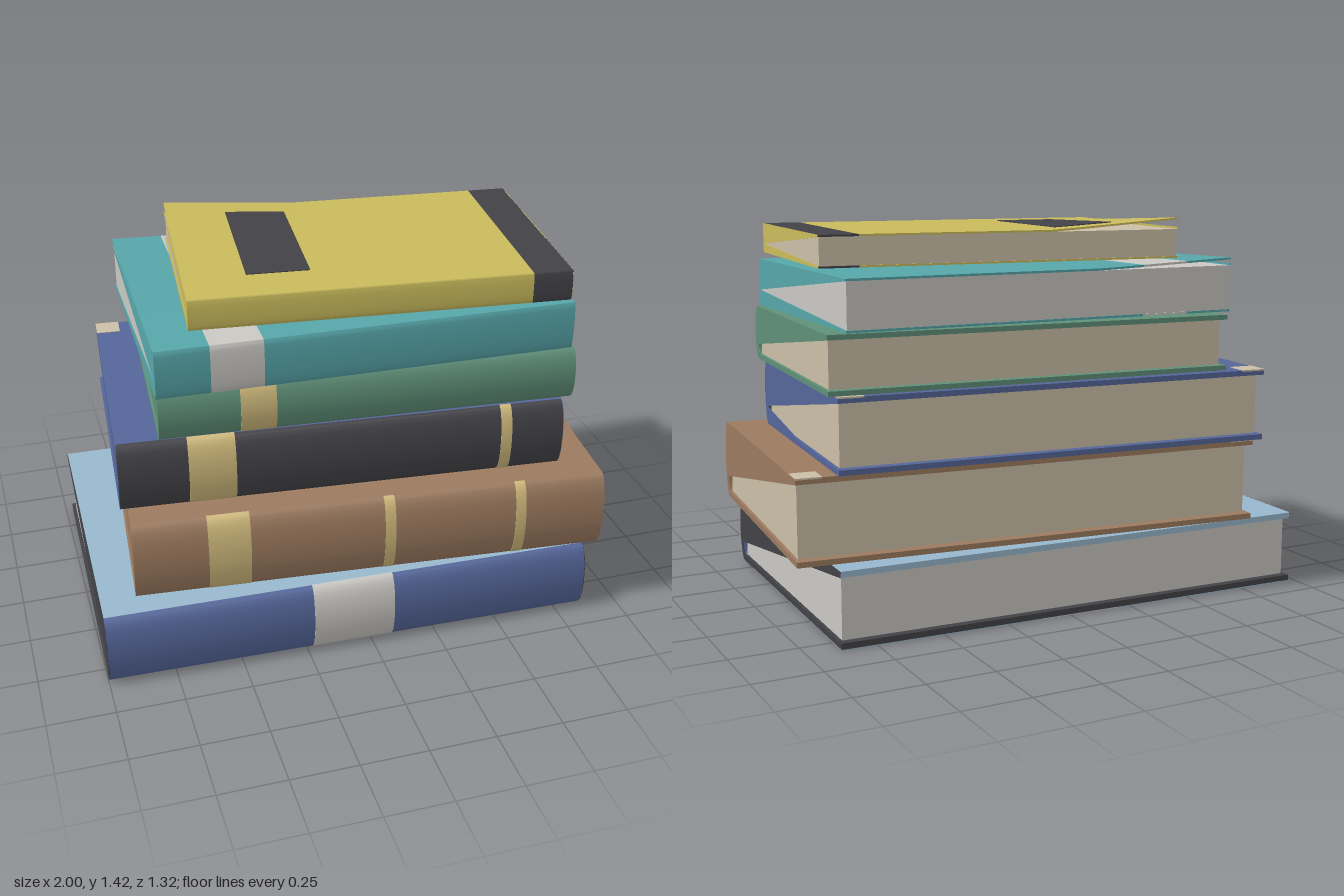
import * as THREE from 'three';
import { toCreasedNormals } from 'three/addons/utils/BufferGeometryUtils.js';

const paint = (name, color) => {
  const m = new THREE.MeshStandardMaterial({ color });
  m.name = name;
  return m;
};
const M = {
  blue: paint('blue', 0x55669a), sky: paint('light blue', 0x98b8ce), brown: paint('brown', 0x9c7a5f),
  charcoal: paint('charcoal', 0x434247), green: paint('green', 0x5f9078), teal: paint('teal', 0x57a6aa),
  yellow: paint('yellow', 0xcabb5c), cream: paint('cream', 0xcbbfa6), grey: paint('light grey', 0xcac8c3),
  gold: paint('gold', 0xd0ba7c),
};

// One entry per book, bottom to top. b: spine bulge, t: cover thickness, over: cover overhang,
// low: depth at which the end cap's lower edge meets the bottom cover, lift: curl of the back corner
const BOOKS = [
  { name: 'blueBook', at: [-0.06, 0.004, 0.01], turn: -0.023, L: 1.85, D: 1.245, h: 0.274, b: 0.05, t: 0.022,
    over: 0.03, apex: 0.27, low: 0.57, cover: 'sky', under: 'charcoal', spine: 'blue', end: 'charcoal', pages: 'grey',
    bands: [[-0.155, 0.155, 'grey']] },
  { name: 'brownBook', at: [0.065, 0.28, 0.006], turn: -0.083, L: 1.775, D: 1.155, h: 0.308, b: 0.05, t: 0.02,
    over: 0.04, apex: 0.26, low: 0.52, cover: 'brown', spine: 'brown', end: 'brown', pages: 'cream', corners: true,
    bands: [[-0.617, -0.462, 'gold'], [0.038, 0.078, 'gold'], [0.54, 0.58, 'gold']] },
  { name: 'darkBook', at: [-0.016, 0.59, -0.068], turn: -0.08, L: 1.66, D: 1.055, h: 0.268, b: 0.045, t: 0.02,
    over: 0.035, apex: 0.26, low: 0, cover: 'blue', spine: 'charcoal', end: 'blue', pages: 'cream', corners: true,
    bands: [[-0.577, -0.405, 'gold'], [0.588, 0.63, 'gold']] },
  { name: 'greenBook', at: [0.075, 0.86, -0.055], turn: -0.072, L: 1.54, D: 1.02, h: 0.208, b: 0.045, t: 0.018,
    over: 0.035, apex: 0.26, low: 0.44, cover: 'green', spine: 'green', end: 'green', pages: 'cream',
    bands: [[-0.478, -0.348, 'gold']] },
  { name: 'tealPaperback', at: [0.035, 1.07, -0.025], turn: -0.02, L: 1.535, D: 1.0, h: 0.182, b: 0.01, t: 0.008,
    over: 0.004, apex: 0.33, low: -0.48, lift: 0.022, cover: 'teal', spine: 'teal', end: 'teal', pages: 'grey',
    wraps: [[-0.575, -0.385, 'grey']] },
  { name: 'yellowPaperback', at: [0.122, 1.275, 0.013], turn: -0.097, L: 1.375, D: 0.86, h: 0.114, b: 0.006, t: 0.007,
    over: 0.004, apex: 0.3, low: -0.41, lift: 0.036, cover: 'yellow', spine: 'yellow', end: 'yellow', pages: 'cream',
    wraps: [[0.5425, 0.6875, 'charcoal']], label: [-0.345, -0.04, 0.23, 0.575] },
];

function add(group, name, geometry, mat) {
  const mesh = new THREE.Mesh(geometry, M[mat]);
  mesh.name = name;
  group.add(mesh);
}

// Box given by its limits
function block(x0, x1, y0, y1, z0, z1, sx = 1, sz = 1) {
  return new THREE.BoxGeometry(x1 - x0, y1 - y0, z1 - z0, sx, 1, sz)
    .translate((x0 + x1) / 2, (y0 + y1) / 2, (z0 + z1) / 2);
}

// Extrude a (z, y) outline along x from x0 to x1
function along(points, x0, x1) {
  const g = new THREE.ExtrudeGeometry(new THREE.Shape(points), { depth: x1 - x0, bevelEnabled: false });
  return toCreasedNormals(g.rotateY(-Math.PI / 2).translate(x1, 0, 0), 0.6);
}

// Half-oval spine curve, from top to bottom
function spineArc(k, grow) {
  const pts = [], n = 14;
  for (let i = 0; i <= n; i++) {
    const a = Math.PI * (0.5 - i / n);
    pts.push(new THREE.Vector2(k.D / 2 - k.b + (k.b + grow) * Math.cos(a), k.h / 2 + (k.h / 2 + grow) * Math.sin(a)));
  }
  return pts;
}
const spineShell = (k, x0, x1, outer, inner) =>
  along([...spineArc(k, outer), ...spineArc(k, inner).reverse()], x0, x1);

// Raise the back corner of a top cover
function curl(k, geometry) {
  if (!k.lift) return geometry;
  const p = geometry.attributes.position;
  for (let i = 0; i < p.count; i++) {
    const a = Math.max(0, 1 - (p.getX(i) + k.L / 2) / (0.36 * k.L));
    const b = Math.max(0, 1 - (p.getZ(i) + k.D / 2) / (0.8 * k.D));
    p.setY(i, p.getY(i) + k.lift * a * b);
  }
  geometry.computeVertexNormals();
  return geometry;
}

function makeBook(k) {
  const g = new THREE.Group();
  g.name = k.name;
  g.position.set(...k.at);
  g.rotation.y = k.turn;
  const X = k.L / 2, back = -k.D / 2, front = k.D / 2, joint = front - k.b;

  // Cover pieces, split where a coloured wrap goes all round
  const pieces = [];
  let x = -X;
  for (const [x0, x1, mat] of k.wraps || []) {
    pieces.push([x, x0, k.cover, k.spine], [x0, x1, mat, mat]);
    x = x1;
  }
  if (x < X) pieces.push([x, X, k.cover, k.spine]);
  for (const [x0, x1, cover, spine] of pieces) {
    const s = k.lift ? 12 : 1;
    add(g, 'topCover', curl(k, block(x0, x1, k.h - k.t, k.h, back, joint, s, s)), cover);
    add(g, 'bottomCover', block(x0, x1, 0, k.t, back, joint), k.under || cover);
    add(g, 'spine', spineShell(k, x0, x1, 0, -Math.min(k.t, k.b * 0.8)), spine);
  }

  // Page block
  const inset = k.over > 0.01 ? 0.012 : 0.004;
  add(g, 'pages', block(-X + inset, X - inset, k.t, k.h - k.t, back + k.over, joint), k.pages);

  // End caps, wedge-shaped from the spine to the top back edge
  const v = (z, y) => new THREE.Vector2(z, y);
  const cap = [...spineArc(k, 0), v(back, 0), v(back, k.t), v(k.low, k.t + 0.002),
    v(front - k.b * 0.5, k.h * k.apex), v(back, k.h - k.t), v(back, k.h)];
  for (const x0 of [-X - 0.001, X - 0.002]) add(g, 'endCap', along(cap, x0, x0 + 0.003), k.end);

  // Spine bands
  for (const [x0, x1, mat] of k.bands || []) add(g, 'spineBand', spineShell(k, x0, x1, 0.002, -0.003), mat);

  // Protective corners on the back of the top cover
  if (k.corners) {
    for (const s of [-1, 1]) {
      const a = s * (X + 0.001), b = s * (X - 0.092);
      add(g, 'cornerPatch', block(Math.min(a, b), Math.max(a, b), k.h - 0.004, k.h + 0.002, back - 0.001, back + 0.09), 'cream');
    }
  }

  // Front label
  if (k.label) {
    const [cx, cz, w, d] = k.label;
    add(g, 'coverLabel', curl(k, block(cx - w / 2, cx + w / 2, k.h - 0.002, k.h + 0.003, cz - d / 2, cz + d / 2, 10, 14)), 'charcoal');
  }
  return g;
}

export function createModel() {
  const model = new THREE.Group();
  model.name = 'bookStack';
  BOOKS.forEach((k) => model.add(makeBook(k)));

  // Underside of the lowest book: cloth panel, spine strip and band
  const k = BOOKS[0], base = model.children[0], X = k.L / 2, z0 = -k.D / 2, zs = k.D / 2 - 0.18, z1 = k.D / 2 - k.b;
  for (const [a, b] of [[-X, -0.155], [0.155, X]]) {
    add(base, 'undersidePanel', block(a, b, -0.003, 0.001, z0, zs), 'sky');
    add(base, 'undersideStrip', block(a, b, -0.003, 0.001, zs, z1), 'blue');
  }
  add(base, 'undersideBand', block(-0.155, 0.155, -0.003, 0.001, z0, z1), 'grey');
  return model;
}
